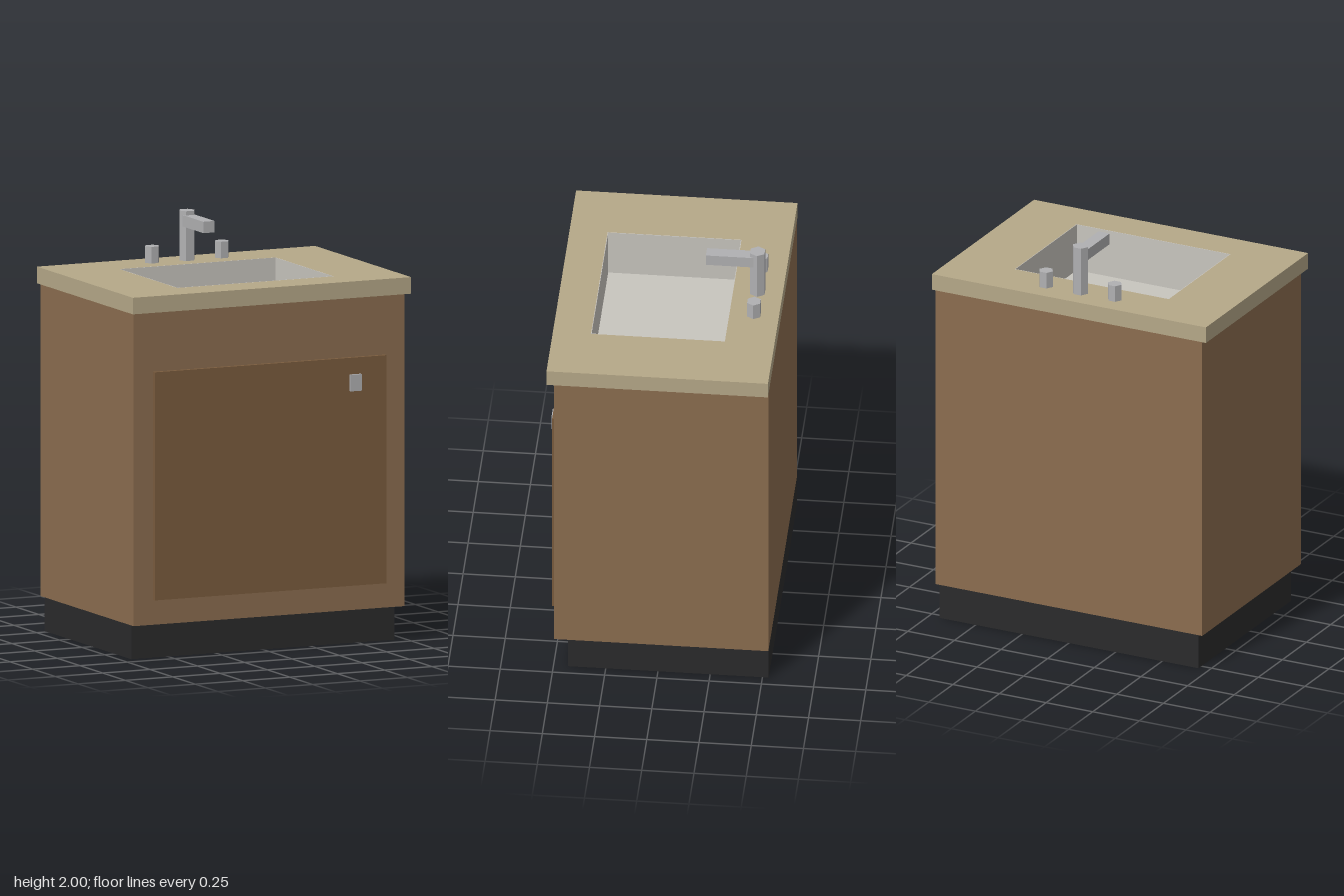
import * as THREE from 'three';

const material = (color) => new THREE.MeshStandardMaterial({ color, flatShading: true });

export function createModel() {
  const model = new THREE.Group();
  model.name = 'vanity';

  const wood = material(0x8b6d4f);
  const doorWood = material(0x7a5c3e);
  const plinth = material(0x2a2a2b);
  const stone = material(0xb5a888);
  const ceramic = material(0xc8c5be);
  const metal = material(0xb0b0b2);

  const add = (name, geometry, mat) => {
    const mesh = new THREE.Mesh(geometry, mat);
    mesh.name = name;
    model.add(mesh);
    return mesh;
  };

  // Box given by its extents on each axis
  const box = (name, mat, [x0, x1], [y0, y1], [z0, z1]) => {
    const mesh = add(name, new THREE.BoxGeometry(x1 - x0, y1 - y0, z1 - z0), mat);
    mesh.position.set((x0 + x1) / 2, (y0 + y1) / 2, (z0 + z1) / 2);
    return mesh;
  };

  // Upright rectangular frame: outer and inner are [halfWidth, zBack, zFront]
  const rectangle = (path, [w, z0, z1]) =>
    path.moveTo(-w, -z1).lineTo(w, -z1).lineTo(w, -z0).lineTo(-w, -z0).closePath();
  const frame = (name, mat, outer, inner, [y0, y1]) => {
    const shape = rectangle(new THREE.Shape(), outer);
    shape.holes.push(rectangle(new THREE.Path(), inner));
    const geometry = new THREE.ExtrudeGeometry(shape, { depth: y1 - y0, bevelEnabled: false });
    geometry.rotateX(-Math.PI / 2).translate(0, y0, 0);
    return add(name, geometry, mat);
  };

  // Six-sided post with corners pointing sideways
  const post = (name, radius, x, [y0, y1]) => {
    const geometry = new THREE.CylinderGeometry(radius, radius, y1 - y0, 6);
    geometry.rotateY(Math.PI / 2);
    add(name, geometry, metal).position.set(x, (y0 + y1) / 2, -0.41);
  };

  // Cabinet: recessed base, hollow carcass, floor and door
  box('toeKick', plinth, [-0.695, 0.695], [0, 0.17], [-0.53, 0.43]);
  frame('cabinetWalls', wood, [0.715, -0.53, 0.495], [0.69, -0.505, 0.47], [0.17, 1.68]);
  box('cabinetFloor', wood, [-0.69, 0.69], [0.17, 0.195], [-0.505, 0.47]);
  box('door', doorWood, [-0.612, 0.612], [0.29, 1.39], [0.495, 0.515]);
  box('doorKnob', metal, [0.415, 0.475], [1.23, 1.31], [0.515, 0.53]);

  // Countertop with a thin-walled basin set in its opening
  const opening = [0.41, -0.29, 0.345];
  const rim = [0.413, -0.293, 0.348];
  frame('countertop', stone, [0.735, -0.53, 0.53], rim, [1.68, 1.76]);
  frame('basinWalls', ceramic, rim, opening, [1.515, 1.76]);
  box('basinFloor', ceramic, [-0.41, 0.41], [1.515, 1.525], [-0.29, 0.345]);

  // Tap and its two handles
  post('tapColumn', 0.04, 0, [1.76, 2]);
  box('tapSpout', metal, [-0.03, 0.03], [1.925, 1.98], [-0.41, -0.165]);
  for (const side of [-1, 1]) {
    post(side > 0 ? 'leftHandle' : 'rightHandle', 0.036, side * 0.184, [1.76, 1.84]);
  }

  return model;
}
